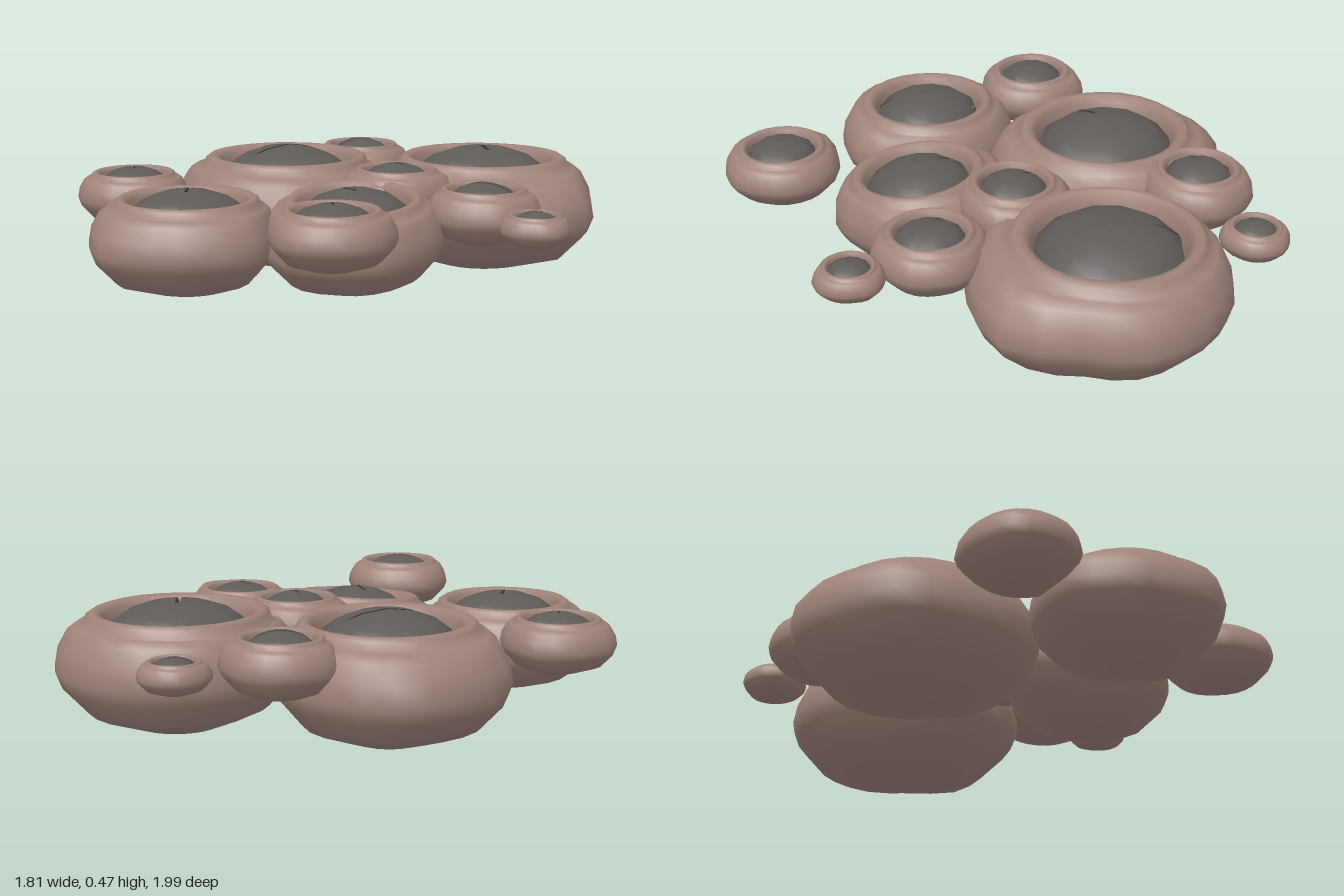
import * as THREE from 'three';
import { mergeVertices } from 'three/addons/utils/BufferGeometryUtils.js';

const shellMat = new THREE.MeshStandardMaterial({ color: 0x9e8279 });
const beakMat = new THREE.MeshStandardMaterial({ color: 0x5f5b59, side: THREE.DoubleSide });

// Shell profile: [radius, height, how strongly the uneven outline applies]
const PROFILE = [
  [0, 0, 0], [0.38, 0.07, 0.7], [0.75, 0.19, 1], [0.95, 0.39, 1], [1, 0.51, 1], [0.97, 0.66, 1],
  [0.89, 0.79, 0.8], [0.82, 0.84, 0.5], [0.765, 0.84, 0.3], [0.74, 0.9, 0.2], [0.7, 0.925, 0.2],
  [0.65, 0.92, 0.1], [0.605, 0.88, 0], [0.585, 0.78, 0], [0.57, 0.6, 0],
];

// x, z, bottom, top, slit direction (x, z), tilt about x, outline radii every 30 degrees from +x to +z
const LARGE = [
  [-0.245, -0.27, 0, 0.47, 0.32, -0.35, 0, [0.36, 0.40, 0.43, 0.43, 0.42, 0.41, 0.44, 0.43, 0.45, 0.41, 0.40, 0.38]],
  [0.465, -0.45, 0, 0.47, 0.24, 0.40, 0, [0.41, 0.49, 0.47, 0.47, 0.46, 0.41, 0.37, 0.39, 0.40, 0.41, 0.42, 0.43]],
  [-0.37, 0.45, 0.055, 0.42, 0.08, 0.35, 0, [0.30, 0.345, 0.33, 0.33, 0.36, 0.33, 0.34, 0.36, 0.33, 0.32, 0.32, 0.31]],
  [0.165, 0.29, 0.06, 0.42, 0.28, 0.25, 0.1, [0.30, 0.29, 0.31, 0.31, 0.33, 0.32, 0.315, 0.36, 0.33, 0.29, 0.30, 0.31]],
];

// x, z, bottom, top, slit direction (x, z), radius
const SMALL = [
  [-0.70, 0.13, 0.21, 0.43, 0.10, 0.19, 0.2],
  [0.225, -0.06, 0.23, 0.455, 0.20, 0.13, 0.195],
  [0.57, 0.12, 0.21, 0.43, 0.21, 0.02, 0.197],
  [0.225, 0.785, 0.25, 0.465, 0.10, 0.18, 0.205],
  [-0.055, -0.645, 0.22, 0.45, 0.18, -0.11, 0.193],
  [0.19, -0.88, 0.26, 0.385, 0.12, -0.06, 0.117],
  [0.775, 0.32, 0.255, 0.38, 0.11, -0.06, 0.117],
];

function shellGeometry(outline, R, H) {
  const pts = PROFILE.map(([r, y]) => new THREE.Vector2(r, y));
  const lathe = new THREE.LatheGeometry(pts, 24);
  const p = lathe.attributes.position;
  for (let i = 0; i < p.count; i++) {
    const weight = PROFILE[i % PROFILE.length][2];
    const turn = (Math.atan2(p.getZ(i), p.getX(i)) / (Math.PI * 2) + 1) * 12;
    const k = Math.floor(turn + 1e-4);
    const edge = THREE.MathUtils.lerp(outline[k % 12], outline[(k + 1) % 12], turn - k);
    const s = THREE.MathUtils.lerp(R, edge, weight);
    p.setXYZ(i, p.getX(i) * s, p.getY(i) * H, p.getZ(i) * s);
  }
  lathe.deleteAttribute('uv');
  lathe.deleteAttribute('normal');
  const geo = mergeVertices(lathe, 1e-4);
  geo.computeVertexNormals();
  return geo;
}

function barnacle(x, z, bottom, top, dx, dz, tilt, outline) {
  const g = new THREE.Group();
  g.name = 'barnacle';
  const H = top - bottom;
  const R = outline.reduce((a, b) => a + b) / 12;

  const shell = new THREE.Mesh(shellGeometry(outline, R, H), shellMat);
  shell.name = 'shell';
  g.add(shell);

  // Two half-dome plates that leave a thin slit between them
  const beak = new THREE.Group();
  beak.name = 'beak';
  const dome = [[0.575, 0.72], [0.555, 0.82], [0.42, 0.91], [0.22, 0.975], [0, 1]]
    .map(([r, y]) => new THREE.Vector2(r * R, y * H));
  for (const side of [0, 1]) {
    const plate = new THREE.Mesh(new THREE.LatheGeometry(dome, 6, side * Math.PI, Math.PI), beakMat);
    plate.name = 'beakPlate';
    plate.position.x = (side ? -1 : 1) * 0.018 * R;
    beak.add(plate);
  }
  // Floor seen through the slit
  const floor = new THREE.Mesh(new THREE.LatheGeometry(dome, 12), beakMat);
  floor.name = 'slitFloor';
  floor.scale.set(0.97, 0.96, 0.97);
  beak.add(floor);
  beak.rotation.y = Math.atan2(dx, dz);
  g.add(beak);

  // Tilt about mid-height
  const pivot = new THREE.Vector3(0, H / 2, 0);
  g.rotation.x = tilt;
  const shift = pivot.clone().sub(pivot.clone().applyEuler(g.rotation));
  g.position.set(x, bottom, z).add(shift);
  return g;
}

export function createModel() {
  const model = new THREE.Group();
  model.name = 'barnacleCluster';
  LARGE.forEach((b) => model.add(barnacle(...b)));
  SMALL.forEach((b, n) => {
    const R = b[6];
    const outline = Array.from({ length: 12 }, (_, i) =>
      R * (1 + 0.035 * Math.sin(i * 2.3 + n * 1.7) + 0.025 * Math.sin(i * Math.PI / 2 + n)));
    model.add(barnacle(...b.slice(0, 6), 0, outline));
  });
  return model;
}
